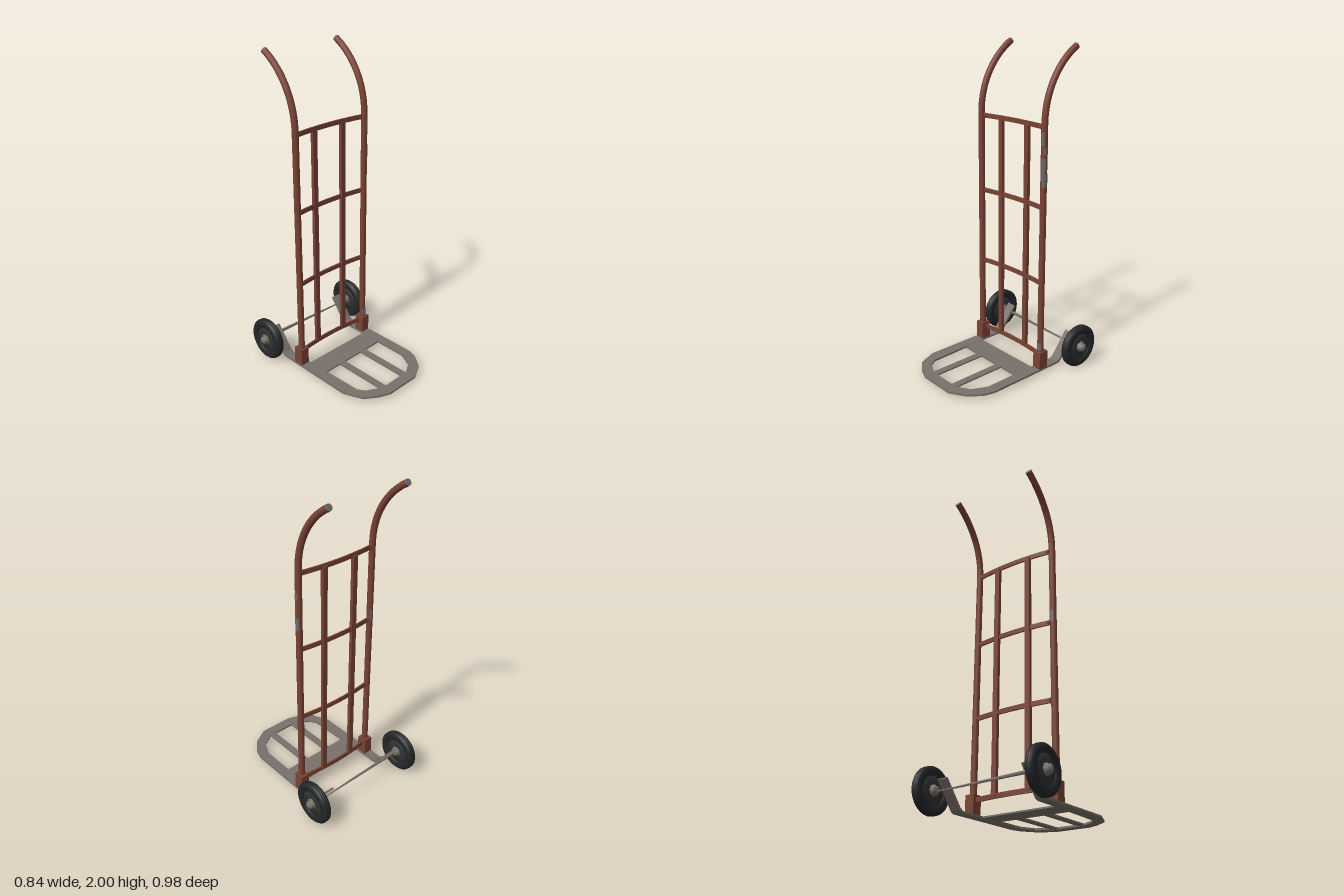
import * as THREE from 'three';

const mat = (name, color) => Object.assign(new THREE.MeshStandardMaterial({ color }), { name });
const V2 = (p) => new THREE.Vector2(p[0], p[1]);
const V3 = (x, y, z) => new THREE.Vector3(x, y, z);

export function createModel() {
  const root = new THREE.Group();
  root.name = 'handTruck';
  const rust = mat('rustyPaint', 0x7a4335);
  const steel = mat('bareSteel', 0x787069);
  const worn = mat('wornPatch', 0x6c6a6b);
  const rubber = mat('blackRubber', 0x232527);
  const rim = mat('darkRim', 0x303132);

  const add = (name, geo, m, x = 0, y = 0, z = 0, parent = root) => {
    const mesh = new THREE.Mesh(geo, m);
    mesh.name = name;
    mesh.position.set(x, y, z);
    parent.add(mesh);
    return mesh;
  };
  const box = (name, w, h, d, m, x, y, z) => add(name, new THREE.BoxGeometry(w, h, d), m, x, y, z);
  const extrude = (pts, depth) =>
    new THREE.ExtrudeGeometry(new THREE.Shape(pts.map(V2)), { depth, bevelEnabled: false });

  const railX = [-0.29, 0.26], railZ = -0.12, railR = 0.02;

  // Upright rails bending back into the handles
  const bendR = 0.48, bendY = 1.565, bend = Math.PI / 3;
  const path = new THREE.CurvePath();
  path.add(new THREE.LineCurve3(V3(0, 0.035, railZ), V3(0, bendY, railZ)));
  let last = V3(0, bendY, railZ);
  for (let i = 1; i <= 12; i++) {
    const a = bend * i / 12;
    const p = V3(0, bendY + bendR * Math.sin(a), railZ - bendR * (1 - Math.cos(a)));
    path.add(new THREE.LineCurve3(last, p));
    last = p;
  }
  const railGeo = new THREE.TubeGeometry(path, 90, railR, 12);
  for (const x of railX) {
    add('handleRail', railGeo, rust, x);
    const cap = add('handleTip', new THREE.CylinderGeometry(railR, railR, 0.008, 12), worn, x, last.y, last.z);
    cap.rotation.x = -bend;
    box('railFoot', 0.058, 0.12, 0.066, rust, x, 0.085, -0.122);
  }

  // Bare patches on the rails: x, y, height, start angle, sweep
  for (const [x, y, h, start, sweep] of [
    [0.26, 1.24, 0.08, 0.2, 2.3], [0.26, 1.32, 0.1, 0.1, 1.2], [0.26, 1.41, 0.04, 0.6, 1.6],
    [0.26, 1.48, 0.08, -0.2, 1.0], [-0.29, 1.1, 0.07, 2.4, 1.3], [0.26, 0.18, 0.05, -0.8, 2],
  ]) {
    add('wornPatch', new THREE.CylinderGeometry(0.0212, 0.0212, h, 8, 1, true, start, sweep), worn, x, y, railZ);
  }

  // Flat crossbars bowed to the rear, with flared weld ends
  const arc = [];
  const t = 0.005, x0 = -0.275, x1 = 0.245;
  const bowZ = (u) => -0.125 - 0.02 * (1 - (2 * u - 1) ** 2);
  for (let i = 0; i <= 10; i++) arc.push([x0 + (x1 - x0) * i / 10, bowZ(i / 10) - t]);
  for (let i = 10; i >= 0; i--) arc.push([x0 + (x1 - x0) * i / 10, bowZ(i / 10) + t]);
  const barGeo = extrude(arc, 0.028).rotateX(Math.PI / 2).translate(0, 0.014, 0);
  for (const y of [0.115, 0.592, 1.068, 1.545]) {
    add('crossbar', barGeo, rust, 0, y);
    for (const [x, s] of [[-0.258, 1], [0.236, -1]]) {
      const flare = add('crossbarWeld', new THREE.CylinderGeometry(0.013, 0.02, 0.03, 4, 1), rust, x, y, -0.127);
      flare.rotation.z = -s * Math.PI / 2;
      flare.scale.z = 0.6;
    }
  }

  // Inner vertical slats
  for (const x of [-0.13, 0.096]) box('backSlat', 0.032, 1.43, 0.022, rust, x, 0.83, -0.143);

  // Toe plate: rounded U frame, cross plate and two slats
  const frame = [
    [-0.32, -0.09], [-0.32, 0.285], [-0.27, 0.405], [-0.19, 0.46], [-0.12, 0.488], [0.11, 0.488],
    [0.21, 0.43], [0.27, 0.35], [0.29, 0.28], [0.29, -0.09],
    [0.225, -0.09], [0.225, 0.275], [0.18, 0.37], [0.1, 0.42], [-0.12, 0.42],
    [-0.21, 0.37], [-0.24, 0.325], [-0.255, -0.09],
  ];
  add('toeFrame', extrude(frame, 0.012).rotateX(Math.PI / 2), steel, 0, 0.034);
  box('toeCrossPlate', 0.49, 0.009, 0.143, steel, -0.01, 0.028, -0.007);
  for (const x of [-0.109, 0.077]) box('toeSlat', 0.045, 0.009, 0.375, steel, x, 0.028, 0.245);

  // Arms rising from the frame to the axle
  const armProfile = [
    [-0.08, 0.022], [-0.08, 0.034], [-0.24, 0.034], [-0.262, 0.046], [-0.378, 0.19],
    [-0.388, 0.182], [-0.27, 0.032], [-0.248, 0.022],
  ];
  const armGeo = extrude(armProfile, 0.062).rotateY(-Math.PI / 2).translate(0.031, 0, 0);
  for (const x of [-0.289, 0.259]) add('axleArm', armGeo, steel, x);

  // Axle, tapering towards one end
  const axle = add('axle', new THREE.CylinderGeometry(0.004, 0.011, 0.66, 6), steel, -0.015, 0.136, -0.361);
  axle.rotation.z = -Math.PI / 2 - 0.025;

  // Wheels: grooved tyre, dished rim and flared hub
  const tyre = [
    [0.08, -0.012], [0.088, -0.024], [0.112, -0.028], [0.126, -0.024], [0.129, -0.017], [0.134, -0.015],
    [0.134, -0.009], [0.13, -0.007], [0.135, -0.004], [0.135, 0.004], [0.13, 0.007], [0.134, 0.009],
    [0.134, 0.015], [0.129, 0.017], [0.126, 0.024], [0.112, 0.028], [0.088, 0.024], [0.08, 0.012],
  ].map(V2);
  const rimProfile = [[0, -0.02], [0.03, -0.02], [0.05, -0.01], [0.084, -0.015],
    [0.084, 0.015], [0.05, 0.01], [0.03, 0.02], [0, 0.02]].map(V2);
  const hubProfile = [[0, -0.046], [0.022, -0.046], [0.022, -0.034], [0.034, -0.024], [0.034, 0.024],
    [0.018, 0.034], [0.028, 0.042], [0.008, 0.054], [0, 0.054]].map(V2);
  for (const [x, s] of [[-0.37, -1], [0.36, 1]]) {
    const wheel = new THREE.Group();
    wheel.name = 'wheel';
    wheel.position.set(x, 0.137, -0.358);
    wheel.rotation.z = -s * Math.PI / 2;
    add('tyre', new THREE.LatheGeometry(tyre, 28), rubber, 0, 0, 0, wheel);
    add('rim', new THREE.LatheGeometry(rimProfile, 24), rim, 0, 0, 0, wheel);
    add('hub', new THREE.LatheGeometry(hubProfile, 8), steel, 0, 0, 0, wheel);
    root.add(wheel);
  }
  return root;
}
